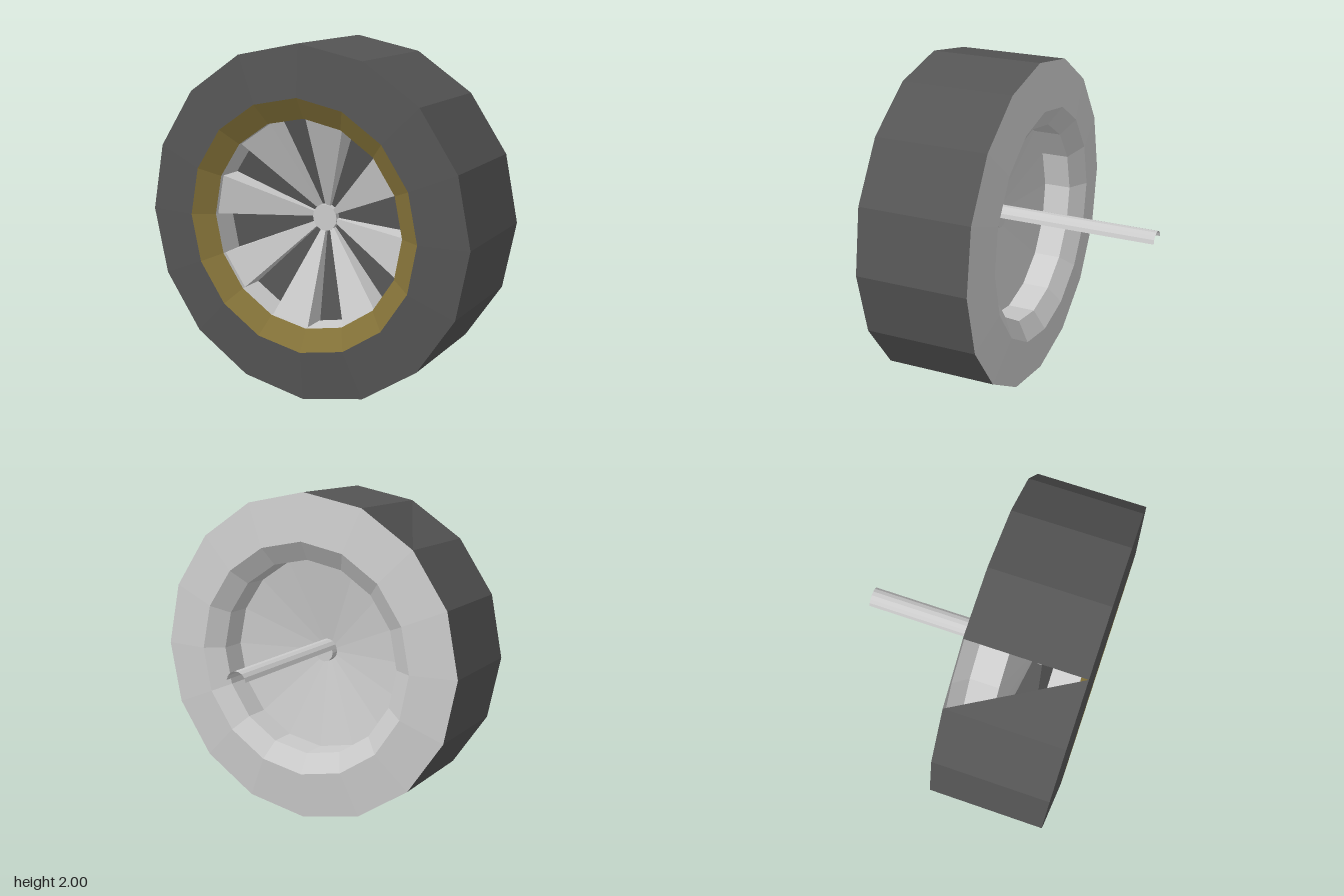
import * as THREE from 'three';

const SIDES = 16;
const STEP = (Math.PI * 2) / SIDES;

const material = (color) =>
  new THREE.MeshStandardMaterial({ color, flatShading: true, side: THREE.DoubleSide });

export function createModel() {
  const model = new THREE.Group();
  const rubber = material(0x555555);
  const gold = material(0x857339);
  const grey = material(0xcccccc);

  const wheel = new THREE.Group();
  wheel.name = 'wheel';
  wheel.position.y = 1;
  model.add(wheel);

  const add = (name, geometry, mat, parent = wheel) => {
    const mesh = new THREE.Mesh(geometry, mat);
    mesh.name = name;
    parent.add(mesh);
    return mesh;
  };

  // Ring of facets around the z axis from [radius, z] pairs
  const ring = (name, profile, mat) =>
    add(name, new THREE.LatheGeometry(
      profile.map(([r, z]) => new THREE.Vector2(r, z)), SIDES).rotateX(Math.PI / 2), mat);

  // Tread: open 16-sided band with one triangle left open at the upper side
  const tread = new THREE.CylinderGeometry(1, 1, 0.67, SIDES, 1, true);
  const faces = Array.from(tread.index.array);
  faces.splice(9 * 6, 6, 9, 27, 10);
  tread.setIndex(faces);
  tread.rotateX(Math.PI / 2).translate(0, 0, 0.35);
  add('tread', tread, rubber);

  // Front: sidewall, bevelled rim, rim wall and the dark dish behind the spokes
  ring('frontSidewall', [[1, 0.685], [0.715, 0.71]], rubber);
  ring('rimBevel', [[0.715, 0.71], [0.595, 0.64]], gold);
  ring('rimWall', [[0.595, 0.64], [0.595, 0.48]], grey);
  ring('spokeBacking', [[0.595, 0.48], [0.06, 0.385]], rubber);

  // Back: sidewall, bevel, inner wall and shallow cone
  ring('backPlate', [[0.04, 0.33], [0.6, 0.23], [0.6, 0.06], [0.715, -0.015], [1, 0.015]], grey);

  // Spokes: eight wedges dished towards the hub
  const inner = 0.06, outer = 0.593;
  const spokes = new THREE.Group();
  spokes.name = 'spokes';
  wheel.add(spokes);
  const corner = (r, a) => new THREE.Vector2(r * Math.cos(a), r * Math.sin(a));
  const wedge = new THREE.ExtrudeGeometry(
    new THREE.Shape([corner(inner, 0), corner(outer, 0), corner(outer, STEP), corner(inner, STEP)]),
    { depth: 1, bevelEnabled: false });
  const p = wedge.attributes.position;
  for (let i = 0; i < p.count; i++) {
    const t = (Math.hypot(p.getX(i), p.getY(i)) - inner) / (outer - inner);
    p.setZ(i, p.getZ(i) > 0.5 ? 0.405 + 0.215 * t : 0.385 + 0.095 * t);
  }
  wedge.computeVertexNormals();
  for (let k = 0; k < 8; k++) {
    add('spoke', wedge, grey, spokes).rotation.z = STEP + k * STEP * 2;
  }

  // Hub: front cap and the collar at the back
  add('hubCap', new THREE.CylinderGeometry(0.077, 0.077, 0.06, SIDES)
    .rotateX(Math.PI / 2).translate(0, 0, 0.39), grey);
  add('hubCollar', new THREE.CylinderGeometry(0.06, 0.06, 0.08, 12)
    .rotateX(Math.PI / 2).translate(0, 0, 0.31), grey);

  // Axle: thin half shell, open underneath
  add('axle', new THREE.CylinderGeometry(0.063, 0.063, 1.01, 7, 1, true, Math.PI / 2 + 0.12, Math.PI - 0.24)
    .rotateX(Math.PI / 2).translate(-0.008, 0.018, -0.205), grey);

  return model;
}
